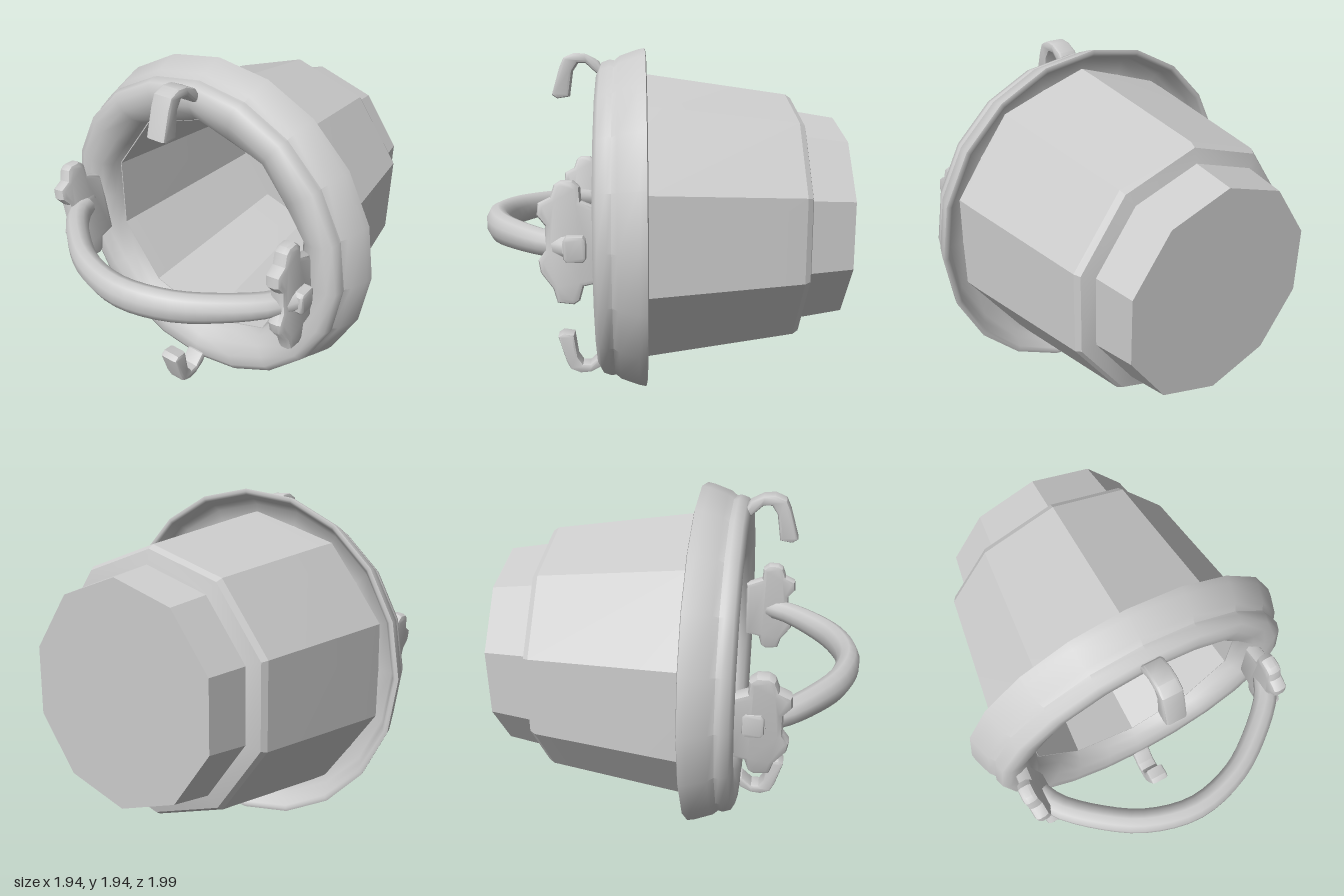
import * as THREE from 'three';
import { toCreasedNormals } from 'three/addons/utils/BufferGeometryUtils.js';

const CY = 0.97; // height of the bucket's axis
const grey = new THREE.MeshStandardMaterial({ color: 0xcccccc, side: THREE.DoubleSide });

function add(parent, name, geometry, crease = 0.6) {
  const mesh = new THREE.Mesh(toCreasedNormals(geometry, crease), grey);
  mesh.name = name;
  parent.add(mesh);
  return mesh;
}

// Lathe whose axis runs along z; profile points are [radius, z]
function turned(profile, sides) {
  const g = new THREE.LatheGeometry(profile.map(([r, z]) => new THREE.Vector2(r, z)), sides);
  return g.rotateX(Math.PI / 2);
}

// Bevelled plate: outline given as [z, y], thickness along x, centred on x = 0
function plate(outline, width, bevel = 0.015) {
  const shape = new THREE.Shape(outline.map(([z, y]) => new THREE.Vector2(z, y)));
  const depth = width - 2 * bevel;
  const g = new THREE.ExtrudeGeometry(shape, {
    depth, bevelThickness: bevel, bevelSize: bevel, bevelOffset: -bevel, bevelSegments: 2,
  });
  return g.translate(0, 0, -depth / 2).rotateY(-Math.PI / 2);
}

export function createModel() {
  const group = new THREE.Group();
  const axis = new THREE.Group();
  axis.name = 'bucket';
  axis.position.y = CY;
  group.add(axis);

  // Ten-sided hollow body with a stepped base
  add(axis, 'body', turned([
    [0, -1], [0.577, -1], [0.615, -0.77], [0.69, -0.75], [0.71, -0.72],
    [0.825, 0.08], [0.84, 0.21], [0.67, 0.21],
    [0.56, -0.72], [0.54, -0.9], [0, -0.9],
  ], 10), 0.3);

  // Rounded rim, hollow behind; its inner edge becomes a decagon to meet the body
  const rim = turned([
    [0.8, 0.2], [0.88, 0.19], [0.91, 0.15], [0.935, 0.085], [0.95, 0.075], [0.968, 0.08],
    [0.96, 0.12], [0.925, 0.22], [0.9, 0.25], [0.905, 0.275], [0.89, 0.32], [0.85, 0.342],
    [0.79, 0.338], [0.73, 0.31], [0.69, 0.26], [0.67, 0.19],
  ], 20);
  const p = rim.attributes.position;
  for (let i = 0; i < p.count; i++) {
    const x = p.getX(i), y = p.getY(i), r = Math.hypot(x, y);
    const step = Math.round(Math.atan2(x, -y) / (Math.PI / 10));
    if (step % 2 === 0 || r > 0.8) continue;
    const blend = Math.min(1, (0.8 - r) / 0.1);
    const k = 1 - blend * (1 - Math.cos(Math.PI / 10));
    p.setXY(i, x * k, y * k);
  }
  add(axis, 'rim', rim, 0.9);

  // Curled hooks at the top and bottom of the rim
  const hookOutline = [
    [0.3, 0.83], [0.34, 0.9], [0.41, 0.935], [0.47, 0.94], [0.53, 0.915], [0.555, 0.86],
    [0.6, 0.71], [0.57, 0.69], [0.505, 0.7], [0.495, 0.77], [0.485, 0.84], [0.455, 0.885],
    [0.41, 0.885], [0.35, 0.83],
  ];
  for (const [name, side] of [['topHook', 1], ['bottomHook', -1]]) {
    const hook = add(axis, name, plate(hookOutline, 0.115));
    if (side < 0) hook.rotation.z = Math.PI;
  }

  // Side brackets, leaning slightly, each with a square pin outside
  const bracketOutline = [
    [0.3, -0.2], [0.39, -0.22], [0.41, -0.29], [0.44, -0.31], [0.52, -0.3], [0.54, -0.23],
    [0.6, -0.15], [0.61, -0.09], [0.575, -0.04], [0.575, 0.08], [0.615, 0.13], [0.61, 0.19],
    [0.55, 0.22], [0.53, 0.28], [0.5, 0.3], [0.44, 0.3], [0.405, 0.27], [0.4, 0.2], [0.3, 0.16],
  ];
  const sides = [
    { name: 'leftBracket', s: 1, x: 0.71, y: 0.02, tilt: 0.08 },
    { name: 'rightBracket', s: -1, x: -0.735, y: -0.02, tilt: 0.16 },
  ];
  for (const { name, s, x, y, tilt } of sides) {
    const bracket = add(axis, name, plate(bracketOutline, 0.085, 0.025));
    bracket.position.set(x, y, 0);
    bracket.rotation.z = tilt;
    const pin = add(axis, name + 'Pin', plate(
      [[0.375, -0.05], [0.39, -0.07], [0.47, -0.07], [0.485, -0.05], [0.485, 0.04],
        [0.47, 0.06], [0.39, 0.06], [0.375, 0.04]], 0.1));
    pin.position.x = s * 0.75;
  }

  // Bowed handle, taller in the middle than at its ends
  const half = [[0.725, 0.46], [0.67, 0.56], [0.5, 0.72], [0.28, 0.86]];
  const path = new THREE.CatmullRomCurve3([
    ...half.map(([x, z]) => new THREE.Vector3(-x, 0, z)),
    new THREE.Vector3(0, 0, 0.925),
    ...half.slice().reverse().map(([x, z]) => new THREE.Vector3(x, 0, z)),
  ]);
  const bar = new THREE.TubeGeometry(path, 24, 0.066, 10);
  const b = bar.attributes.position;
  for (let i = 0; i < b.count; i++) {
    const t = Math.min(1, Math.abs(b.getX(i)) / 0.72);
    b.setY(i, b.getY(i) * (1.4 - 0.45 * t * t));
  }
  add(axis, 'handle', bar, 0.9);

  return group;
}
